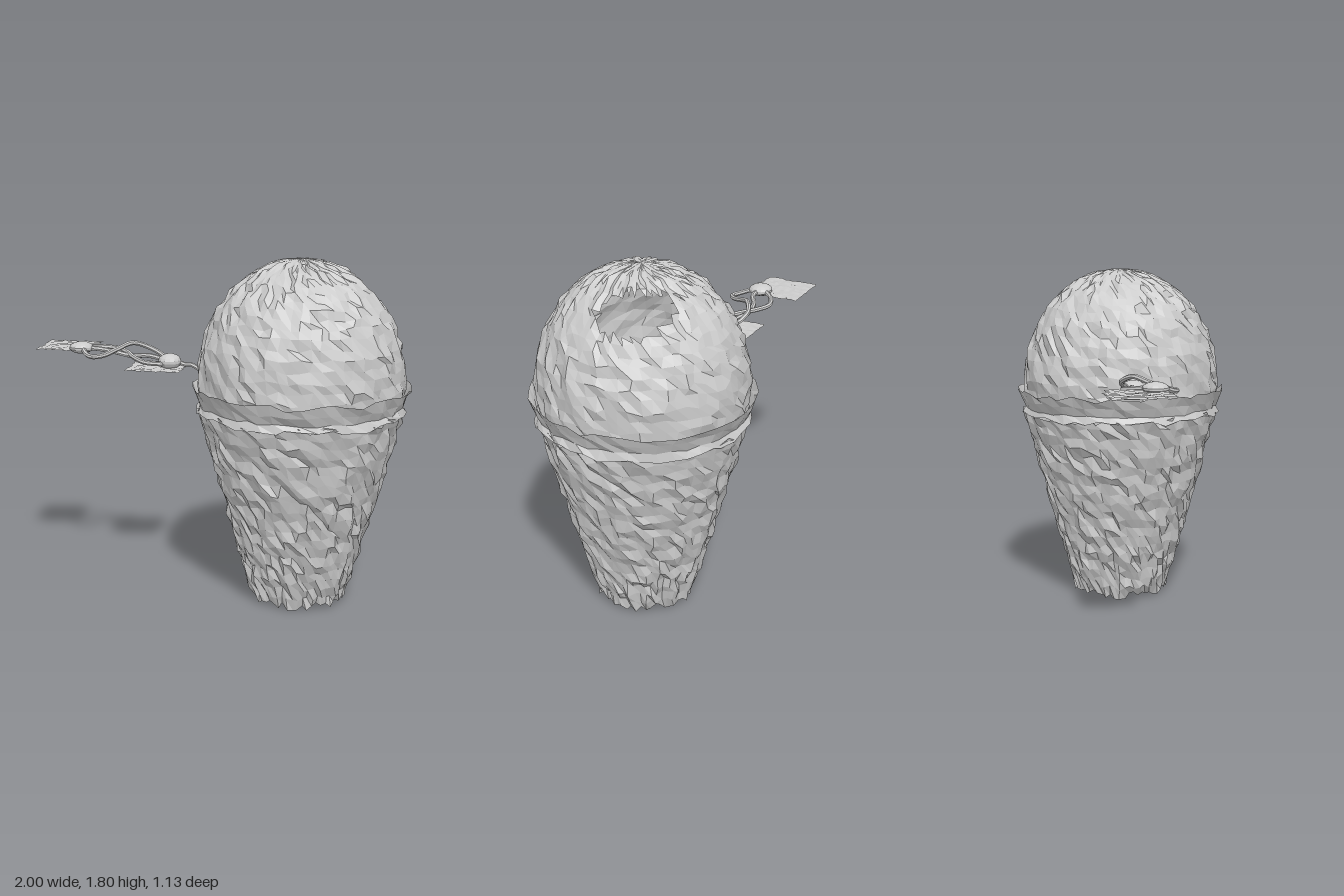
import * as THREE from 'three';

const material = new THREE.MeshStandardMaterial({
  color: 0xcccccc, flatShading: true, side: THREE.DoubleSide,
});

// Repeatable noise in -1..1 for a grid cell
function noise(i, j, k) {
  const s = Math.sin(i * 127.1 + j * 311.7 + k * 74.7) * 43758.5453;
  return (s - Math.floor(s)) * 2 - 1;
}

function addMesh(parent, name, geometry) {
  const mesh = new THREE.Mesh(geometry, material);
  mesh.name = name;
  parent.add(mesh);
  return mesh;
}

// Revolved shell with roughened vertices; cells for which isHole is true are left out
function roughShell(profile, segments, amount, edgeAmount, seed, isHole) {
  const geo = new THREE.LatheGeometry(profile, segments);
  const pos = geo.attributes.position;
  const rows = profile.length;
  for (let n = 0; n < pos.count; n++) {
    const i = Math.floor(n / rows) % segments;
    const j = n % rows;
    const r = profile[j].x;
    if (r < 0.001) continue;
    const radius = r + noise(i, j, seed) * Math.min(amount, r * 0.06);
    const angle = (i + noise(i, j, seed + 1) * 0.25) / segments * Math.PI * 2;
    const lift = j === 0 || j === rows - 1 ? edgeAmount : Math.min(amount, r * 0.05);
    pos.setXYZ(n, Math.sin(angle) * radius,
      profile[j].y + noise(i, j, seed + 2) * lift, Math.cos(angle) * radius);
  }
  if (isHole) {
    const kept = [];
    const p = new THREE.Vector3(), c = new THREE.Vector3();
    for (let t = 0; t < geo.index.count; t += 3) {
      const tri = [0, 1, 2].map(k => geo.index.getX(t + k));
      c.set(0, 0, 0);
      tri.forEach(v => c.add(p.fromBufferAttribute(pos, v)));
      if (!isHole(c.divideScalar(3))) kept.push(...tri);
    }
    geo.setIndex(kept);
  }
  geo.computeVertexNormals();
  return geo;
}

// Thin square tag with slightly wavy edges
function addTag(parent, name, x, y, z) {
  const geo = new THREE.PlaneGeometry(0.29, 0.29, 12, 12).rotateX(-Math.PI / 2);
  const pos = geo.attributes.position;
  for (let n = 0; n < pos.count; n++) {
    pos.setXYZ(n, pos.getX(n) + noise(n, 1, 3) * 0.005,
      noise(n, 2, 5) * 0.003, pos.getZ(n) + noise(n, 3, 7) * 0.005);
  }
  addMesh(parent, name, geo).position.set(x, y, z);
}

function addCord(parent, name, points, radius = 0.013) {
  const curve = new THREE.CatmullRomCurve3(points.map(p => new THREE.Vector3(...p)));
  addMesh(parent, name, new THREE.TubeGeometry(curve, 36, radius, 7));
}

function addKnot(parent, name, x, y, z, rx, ry) {
  const geo = new THREE.SphereGeometry(1, 14, 9).scale(rx, ry, rx);
  addMesh(parent, name, geo).position.set(x, y, z);
}

export function createModel() {
  const model = new THREE.Group();
  model.name = 'domedCup';
  const body = new THREE.Group();
  body.name = 'body';
  body.position.x = 0.43;
  model.add(body);

  // Tapered cup, open at the bottom
  const cup = [];
  for (let j = 0; j <= 20; j++) {
    const t = j / 20;
    cup.push(new THREE.Vector2(0.245 + 0.285 * Math.pow(t, 0.95), 0.035 + t * 1.01));
  }
  addMesh(body, 'cup', roughShell(cup, 60, 0.014, 0.02, 1));

  // Flared rim standing on a narrow shoulder
  const rim = [[0.54, 1.035], [0.525, 1.07], [0.545, 1.115], [0.565, 1.165]]
    .map(p => new THREE.Vector2(...p));
  addMesh(body, 'rim', roughShell(rim, 48, 0.007, 0.016, 11));

  // Dome with a torn opening high on its left side
  const dome = [];
  for (let j = 0; j <= 20; j++) {
    const a = -0.13 + (Math.PI / 2 + 0.13) * j / 20;
    dome.push(new THREE.Vector2(Math.max(0, 0.53 * Math.cos(a)), 1.2 + 0.617 * Math.sin(a)));
  }
  const torn = c => c.x > 0 &&
    Math.hypot((c.y - 1.67) / 0.085, (c.z + 0.12) / 0.165) < 1;
  addMesh(body, 'dome', roughShell(dome, 60, 0.012, 0.01, 21, torn));

  // Tagged cord trailing from the side
  const trail = new THREE.Group();
  trail.name = 'cordAndTags';
  model.add(trail);
  addTag(trail, 'innerTag', -0.345, 1.22, -0.07);
  addTag(trail, 'outerTag', -0.85, 1.302, -0.15);
  addKnot(trail, 'innerKnot', -0.28, 1.25, -0.07, 0.062, 0.042);
  addKnot(trail, 'outerKnot', -0.76, 1.31, -0.06, 0.065, 0.032);
  addCord(trail, 'backLoop', [
    [-0.74, 1.31, -0.1], [-0.68, 1.3, -0.16], [-0.6, 1.29, -0.185],
    [-0.53, 1.28, -0.14], [-0.47, 1.265, -0.06], [-0.4, 1.25, -0.01], [-0.3, 1.24, -0.03],
  ]);
  addCord(trail, 'frontLoop', [
    [-0.74, 1.31, -0.02], [-0.7, 1.29, 0.04], [-0.66, 1.285, 0.065],
    [-0.61, 1.29, 0.03], [-0.56, 1.31, -0.04], [-0.49, 1.335, -0.11],
    [-0.42, 1.31, -0.15], [-0.35, 1.28, -0.14], [-0.29, 1.25, -0.09],
  ]);
  addCord(trail, 'middleStrand', [
    [-0.75, 1.31, -0.06], [-0.66, 1.305, -0.06], [-0.59, 1.285, -0.1],
    [-0.5, 1.265, -0.11], [-0.4, 1.27, -0.1], [-0.29, 1.25, -0.08],
  ]);
  addCord(trail, 'cordEnd', [
    [-0.24, 1.25, -0.07], [-0.2, 1.235, -0.075], [-0.16, 1.235, -0.065],
    [-0.12, 1.215, -0.065], [-0.08, 1.2, -0.06],
  ], 0.012);
  return model;
}
